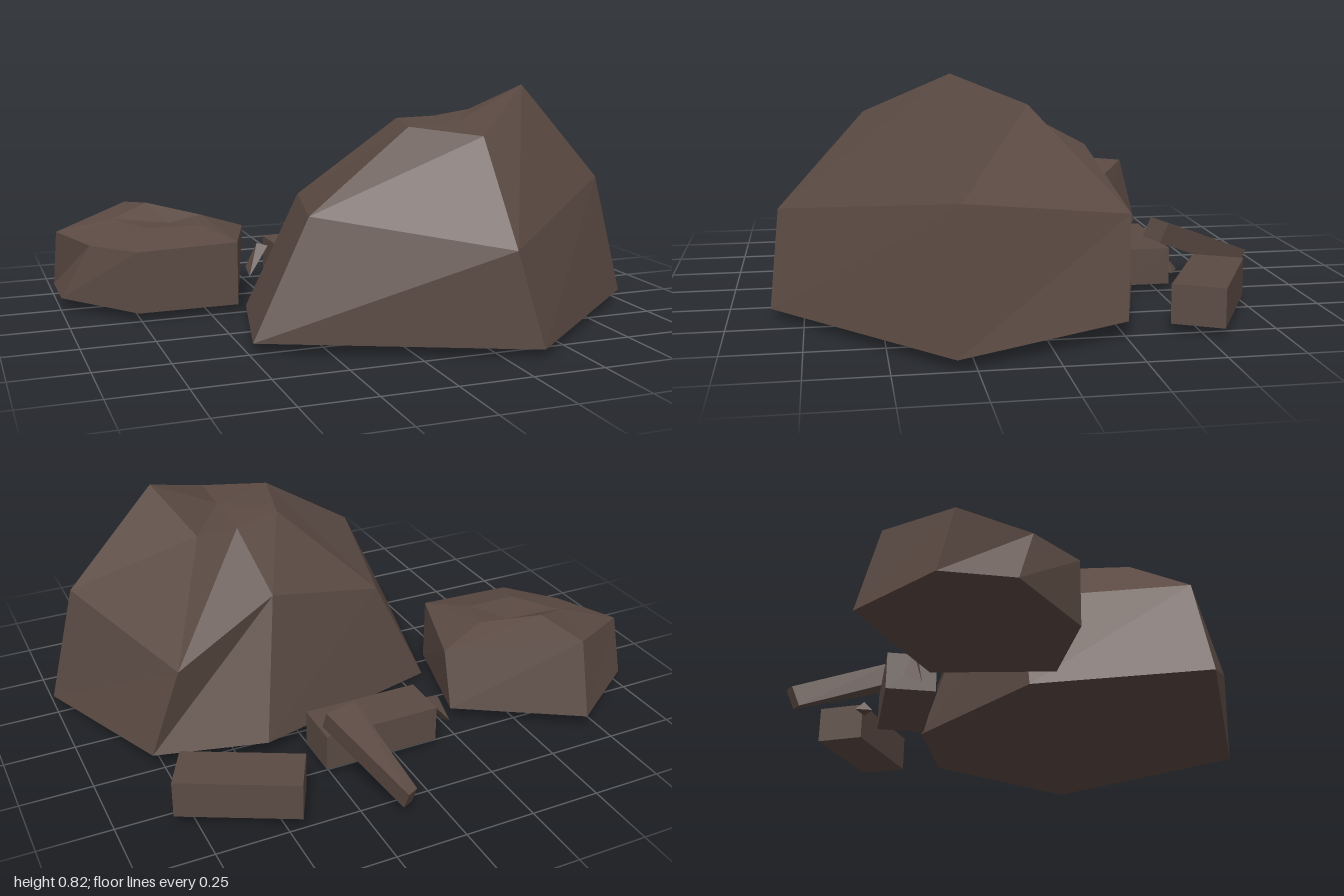
import * as THREE from 'three';
import { ConvexGeometry } from 'three/addons/geometries/ConvexGeometry.js';

const v = (p) => new THREE.Vector3(...p);

// Faceted boulder: rings from bottom to top, closed below and above by a fan
function loft(rings, topCentre) {
  const pos = [];
  const tri = (...ps) => ps.forEach((p) => pos.push(...p));
  const n = rings[0].length;
  const base = [0, 1, 2].map((k) => rings[0].reduce((s, p) => s + p[k], 0) / n);
  const top = rings[rings.length - 1];
  for (let i = 0; i < n; i++) {
    const j = (i + 1) % n;
    for (let r = 0; r + 1 < rings.length; r++) {
      const a = rings[r], b = rings[r + 1];
      tri(a[i], a[j], b[j]);
      tri(a[i], b[j], b[i]);
    }
    tri(rings[0][j], rings[0][i], base);
    tri(top[i], top[j], topCentre);
  }
  const g = new THREE.BufferGeometry();
  g.setAttribute('position', new THREE.Float32BufferAttribute(pos, 3));
  g.computeVertexNormals();
  return g;
}

export function createModel() {
  const model = new THREE.Group();
  model.name = 'rubble';
  const stone = new THREE.MeshStandardMaterial({ color: 0x5b4a43 });
  stone.name = 'brown stone';
  const add = (name, geometry) => {
    const m = new THREE.Mesh(geometry, stone);
    m.name = name;
    model.add(m);
    return m;
  };

  // Large boulder
  add('largeBoulder', loft([
    [[0.37, 0.03, 0.86], [1, 0.035, 0.31], [0.79, 0.06, -0.25], [0.41, 0.07, -0.36], [-0.35, 0, -0.08], [-0.49, 0.04, 0.51]],
    [[0.28, 0.35, 0.83], [0.9, 0.47, 0.28], [0.69, 0.38, -0.28], [0.32, 0.55, -0.21], [-0.15, 0.41, -0.07], [-0.3, 0.44, 0.51]],
    [[0.3, 0.675, 0.54], [0.58, 0.82, 0.28], [0.5, 0.71, 0.02], [0.34, 0.695, 0.06], [0.16, 0.7, 0.13], [0.09, 0.7, 0.4]],
  ], [0.33, 0.7, 0.29]));

  // Small boulder
  add('smallBoulder', loft([
    [[-0.76, 0.03, 0], [-0.4, 0.03, 0], [-0.29, 0.04, -0.4], [-0.7, 0.05, -0.67], [-1, 0.05, -0.46], [-1, 0.05, -0.23]],
    [[-0.76, 0.25, 0], [-0.4, 0.26, 0], [-0.29, 0.25, -0.34], [-0.7, 0.325, -0.6], [-0.99, 0.26, -0.41], [-0.9, 0.25, -0.17]],
    [[-0.69, 0.3, -0.16], [-0.5, 0.3, -0.16], [-0.46, 0.31, -0.3], [-0.65, 0.35, -0.41], [-0.79, 0.31, -0.34], [-0.76, 0.305, -0.29]],
  ], [-0.59, 0.29, -0.29]));

  // Two fallen blocks
  add('middleBlock', new THREE.BoxGeometry(0.42, 0.13, 0.17)).position.set(0.06, 0.095, -0.45);
  const side = add('sideBlock', new THREE.BoxGeometry(0.415, 0.13, 0.174));
  side.position.set(0.595, 0.095, -0.573);
  side.rotation.y = -0.475;

  // Tapered splinter leaning on the middle block
  add('leaningSplinter', new ConvexGeometry([
    [0.15, 0.25, -0.5], [0.27, 0.25, -0.53], [0.15, 0.18, -0.47], [0.27, 0.18, -0.5],
    [0.1, 0.11, -0.85], [0.14, 0.11, -0.87], [0.1, 0.04, -0.82], [0.14, 0.04, -0.84],
  ].map(v)));

  // Small shards
  add('endShard', new ConvexGeometry([
    [-0.16, 0.14, -0.43], [-0.24, 0.02, -0.42], [-0.24, 0.05, -0.48], [-0.2, 0.15, -0.45],
  ].map(v)));
  add('backShard', new ConvexGeometry([
    [0.07, 0.03, -0.625], [0.07, 0.03, -0.565], [0.135, 0.03, -0.59], [0.09, 0.065, -0.595],
  ].map(v)));

  return model;
}
